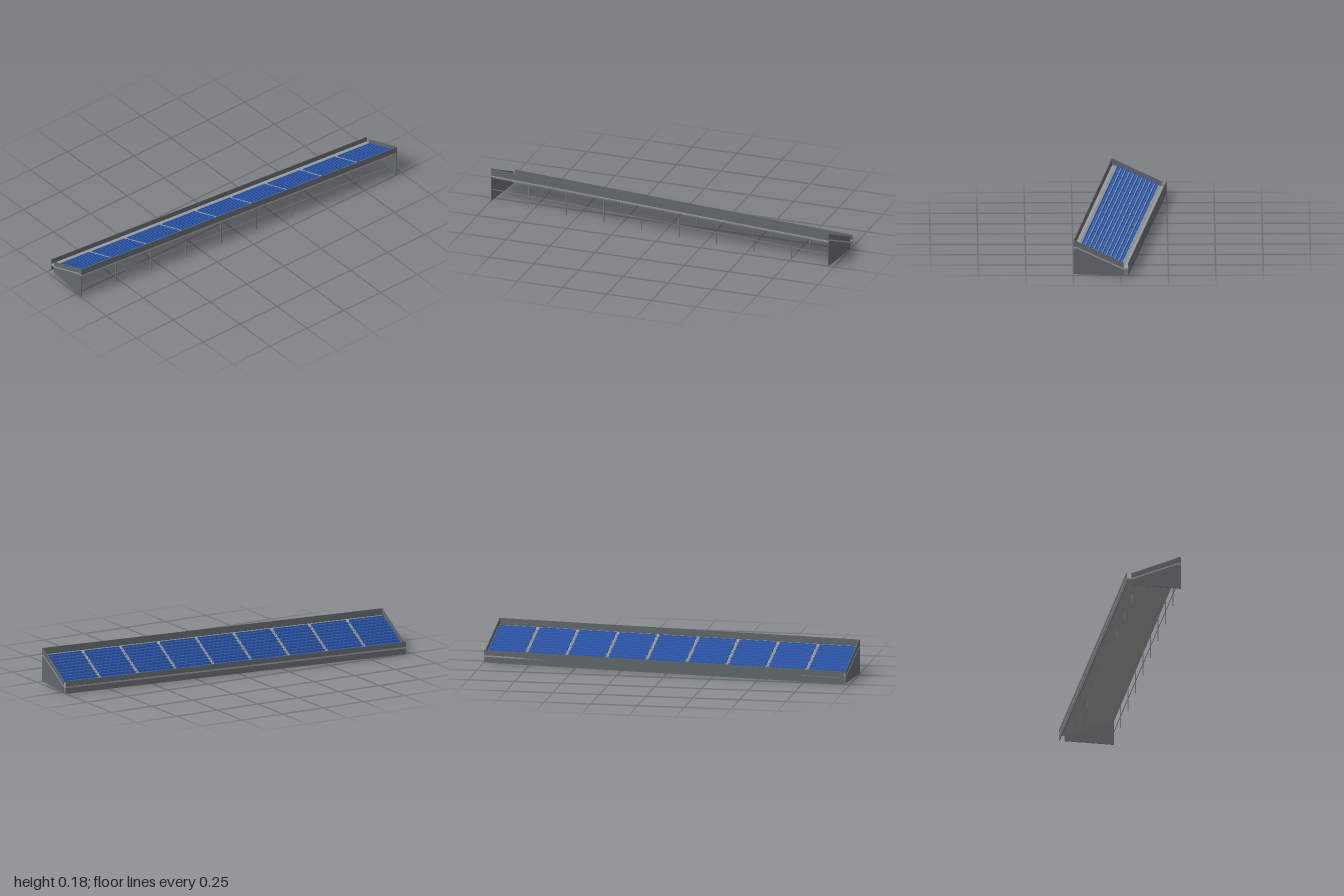
import * as THREE from 'three';

const mat = (name, color) => {
  const m = new THREE.MeshStandardMaterial({ color });
  m.name = name;
  return m;
};

export function createModel() {
  const panelGrey = mat('panelGrey', 0x62686c);
  const concrete = mat('concrete', 0x969a98);
  const seatBlue = mat('seatBlue', 0x2f5db8);
  const steel = mat('steel', 0x767b7e);

  const LEN = 1.98, HALF_W = 0.146, BAYS = 9, ROWS = 10;
  const bay = LEN / BAYS;
  const model = new THREE.Group();
  model.name = 'grandstand';
  const stand = new THREE.Group();
  stand.name = 'stand';
  stand.rotation.y = -0.1065;
  model.add(stand);

  const add = (name, geometry, material, x = 0, y = 0, z = 0) => {
    const mesh = new THREE.Mesh(geometry, material);
    mesh.name = name;
    mesh.position.set(x, y, z);
    stand.add(mesh);
    return mesh;
  };
  const box = (name, material, w, h, d, x, y, z) =>
    add(name, new THREE.BoxGeometry(w, h, d), material, x, y, z);
  // Cross-section in x and y, extruded along z and centred
  const slab = (name, points, depth, material, z = 0) => {
    const shape = new THREE.Shape(points.map(([x, y]) => new THREE.Vector2(x, y)));
    const g = new THREE.ExtrudeGeometry(shape, { depth, bevelEnabled: false });
    g.translate(0, 0, -depth / 2);
    return add(name, g, material, 0, 0, z);
  };

  // Sloping deck with flat walkways at foot and top
  const line = [[-HALF_W, 0.039], [-0.118, 0.039], [0.126, 0.146], [HALF_W, 0.146]];
  const under = line.map(([x, y]) => [x, y - 0.008]).reverse();
  slab('deck', [...under.reverse(), ...line.slice().reverse()], LEN, concrete);
  const slope = (0.146 - 0.039) / 0.244;
  const deckY = x => 0.039 + (x + 0.118) * slope;

  // End walls, cut off short of the front wall
  const endWall = [[-0.118, 0], [HALF_W, 0], [HALF_W, 0.182], [0.126, 0.182],
    [0.126, 0.176], [-0.118, 0.067]];
  for (const s of [-1, 1]) slab('endWall', endWall, 0.003, panelGrey, s * (LEN / 2 - 0.002));

  // Low front wall and high rear parapet
  box('frontWall', panelGrey, 0.003, 0.067, LEN, -HALF_W + 0.0015, 0.0335, 0);
  box('rearParapet', panelGrey, 0.003, 0.037, LEN, HALF_W - 0.0015, 0.1635, 0);

  // Seat rows, one set for each bay
  const aisle = 0.018, pitch = 0.0222;
  for (let b = 0; b < BAYS; b++) {
    const z = (b - (BAYS - 1) / 2) * bay;
    for (let r = 0; r < ROWS; r++) {
      const x = -0.098 + r * pitch;
      const y = deckY(x);
      box('seat', seatBlue, 0.013, 0.005, bay - aisle, x, y + 0.006, z);
      box('seatBack', seatBlue, 0.003, 0.012, bay - aisle, x + 0.007, y + 0.0105, z);
    }
  }

  // Aisle steps, rear columns and short front columns between the bays
  for (let i = 1; i < BAYS; i++) {
    const z = -LEN / 2 + i * bay;
    for (let r = 0; r < ROWS; r++) {
      const x = -0.1 + r * pitch;
      box('aisleStep', concrete, 0.011, 0.007, aisle * 0.8, x, deckY(x) + 0.001, z);
    }
    box('rearColumn', steel, 0.004, 0.14, 0.004, HALF_W - 0.003, 0.07, z);
    const h = deckY(-0.075) - 0.006;
    box('frontColumn', steel, 0.004, h, 0.004, -0.075, h / 2, z);
    box('columnHead', steel, 0.008, 0.012, 0.008, -0.075, h - 0.008, z);
  }

  // Long rails along the open rear
  for (const y of [0.067, 0.133]) {
    box('rearRail', steel, 0.003, 0.003, LEN - 0.006, HALF_W - 0.003, y, 0);
  }
  return model;
}
